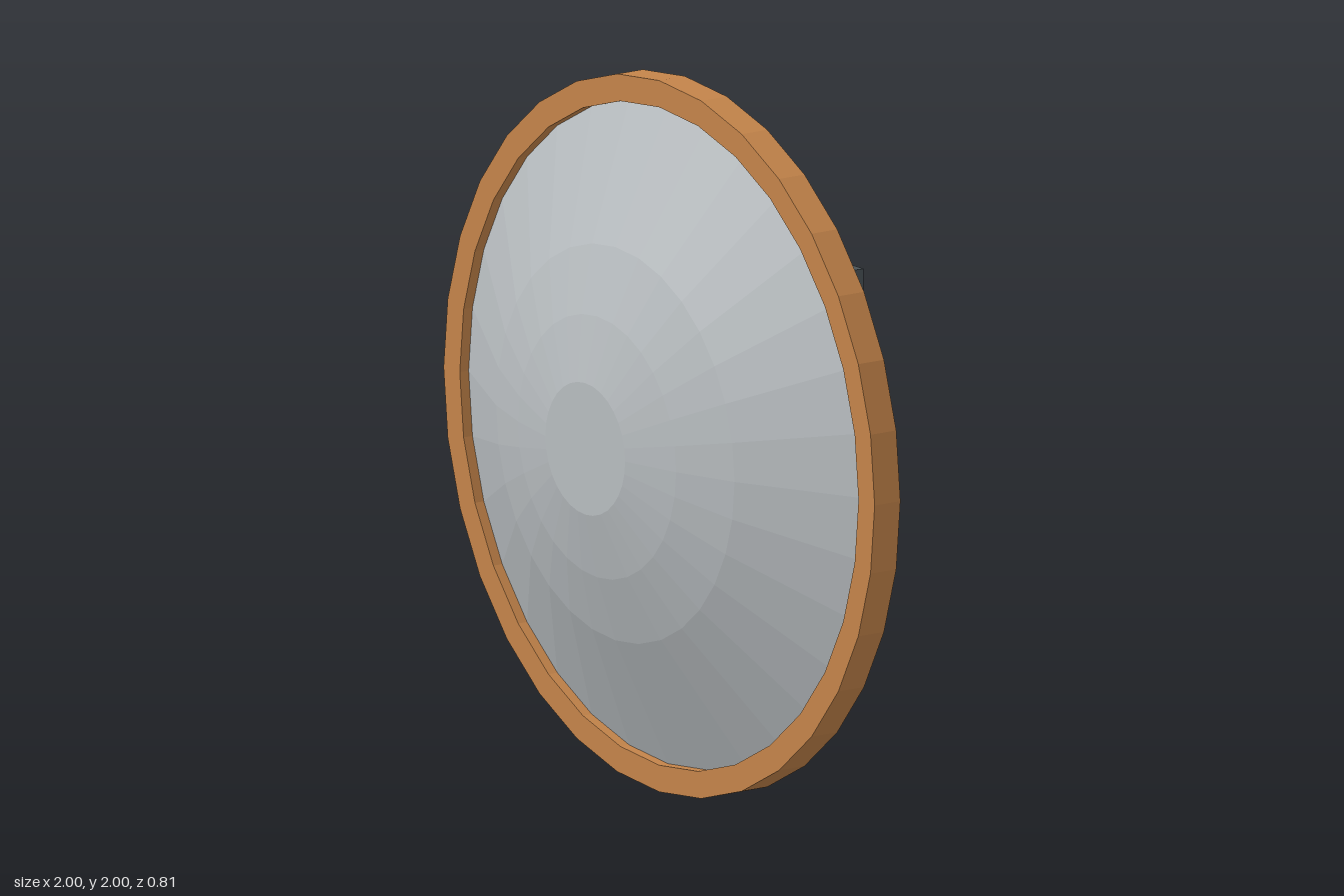
import * as THREE from 'three';

const SIDES = 32;
const CENTER_Y = 1;

function material(name, color) {
  const m = new THREE.MeshStandardMaterial({ color });
  m.name = name;
  return m;
}

// Spin a [radius, z] profile around the z axis, with flat facets
function spin(name, profile, mat) {
  const points = profile.map(([r, z]) => new THREE.Vector2(r, z));
  const geometry = new THREE.LatheGeometry(points, SIDES).rotateX(Math.PI / 2).toNonIndexed();
  geometry.computeVertexNormals();
  const mesh = new THREE.Mesh(geometry, mat);
  mesh.name = name;
  mesh.position.y = CENTER_Y;
  return mesh;
}

function box(name, w, h, z0, z1, mat) {
  const mesh = new THREE.Mesh(new THREE.BoxGeometry(w, h, z1 - z0), mat);
  mesh.name = name;
  mesh.position.set(0, CENTER_Y, (z0 + z1) / 2);
  return mesh;
}

export function createModel() {
  const silver = material('silver', 0xb8bdc0);
  const orange = material('orange', 0xc4844a);
  const darkGrey = material('dark grey', 0x4a5357);

  const group = new THREE.Group();
  group.name = 'convexMirror';

  // Square-section rim around the mirror
  group.add(spin('rim', [[0.925, 0.07], [1, 0.07], [1, 0.157], [0.925, 0.157], [0.925, 0.07]], orange));

  // Bulging mirror face closed by a flat back, flush with the rim
  group.add(spin('mirror', [
    [0, 0.07], [0.925, 0.07], [0.925, 0.127], [0.553, 0.305], [0.367, 0.367], [0.185, 0.407], [0, 0.407],
  ], silver));

  // Wall bracket
  group.add(box('arm', 0.135, 0.135, -0.35, 0.075, darkGrey));
  group.add(box('wallPlate', 0.35, 0.85, -0.407, -0.345, darkGrey));

  return group;
}
